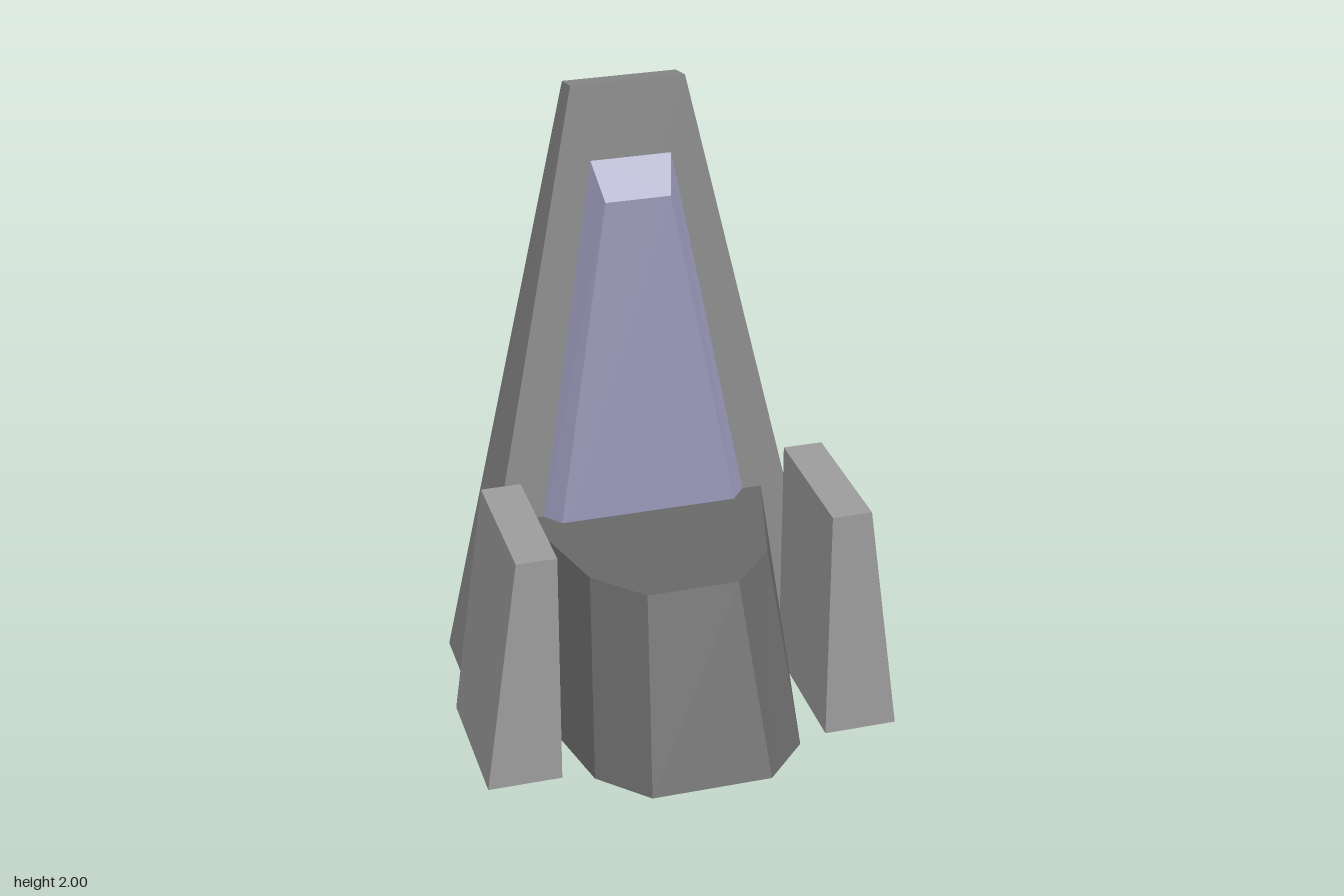
import * as THREE from 'three';

const material = color => new THREE.MeshStandardMaterial({ color, flatShading: true });
const backGrey = material(0x888888);
const armGrey = material(0x9c9c9c);
const seatGrey = material(0x686868);
const lavender = material(0x9494b4);

// Closed solid between two rings; each half ring [x, y, z] runs back to front on +x and is mirrored.
function mirroredLoft(name, lowerHalf, upperHalf, material) {
  const ring = half => [...half.map(([x, y, z]) => [-x, y, z]), ...[...half].reverse()];
  return loft(name, ring(lowerHalf), ring(upperHalf), material);
}

// Rings run counter-clockwise as seen from above.
function loft(name, lower, upper, material) {
  const n = lower.length, pos = [];
  const tri = (...corners) => corners.forEach(c => pos.push(...c));
  for (let i = 0; i < n; i++) {
    const j = (i + 1) % n;
    tri(lower[i], lower[j], upper[j]);
    tri(lower[i], upper[j], upper[i]);
    if (i > 0 && j > 0) {
      tri(upper[0], upper[i], upper[j]);
      tri(lower[0], lower[j], lower[i]);
    }
  }
  const geometry = new THREE.BufferGeometry();
  geometry.setAttribute('position', new THREE.Float32BufferAttribute(pos, 3));
  geometry.computeVertexNormals();
  const mesh = new THREE.Mesh(geometry, material);
  mesh.name = name;
  return mesh;
}

export function createModel() {
  const group = new THREE.Group();
  group.name = 'throne';

  // Tall tapering back, its underside a hair above the seat's
  group.add(mirroredLoft('backrest',
    [[0.617, 0.002, -0.525], [0.617, 0.002, -0.19]],
    [[0.183, 1.98, -0.525], [0.183, 2, -0.423]], backGrey));

  // Raised cushion with a bevelled rim, running down into the seat
  group.add(mirroredLoft('backCushion',
    [[0.358, 0.5, -0.252], [0.308, 0.5, -0.19]],
    [[0.13, 1.76, -0.393], [0.105, 1.65, -0.31]], lavender));

  // Faceted seat block
  group.add(mirroredLoft('seat',
    [[0.475, 0, -0.265], [0.34, 0, 0.37], [0.195, 0, 0.522]],
    [[0.402, 0.6, -0.265], [0.29, 0.6, 0.15], [0.147, 0.6, 0.302]], seatGrey));

  // Armrests: upright inside, sloping outside
  for (const [name, side] of [['leftArmrest', 1], ['rightArmrest', -1]]) {
    const ring = (y, outer) => {
      const [a, b] = [0.437 * side, outer * side].sort((p, q) => p - q);
      return [[a, y, -0.14], [a, y, 0.337], [b, y, 0.337], [b, y, -0.14]];
    };
    group.add(loft(name, ring(0, 0.675), ring(0.8, 0.565), armGrey));
  }
  return group;
}
